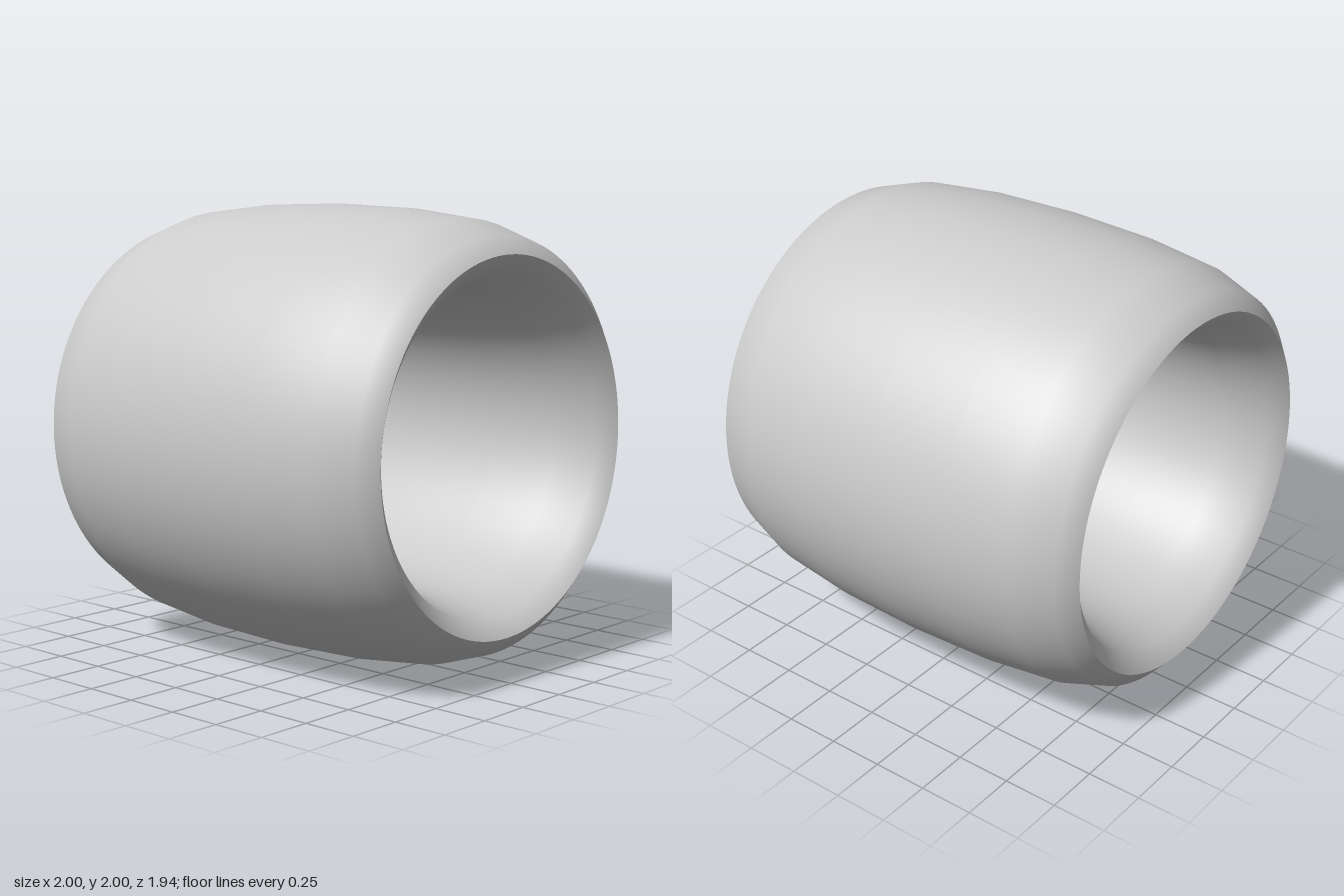
import * as THREE from 'three';

export function createModel() {
  const group = new THREE.Group();
  group.name = 'ring';
  const material = new THREE.MeshStandardMaterial({ color: 0xcccccc });

  const rim = 0.81; // radius of the sharp rim at both ends
  // half profile: [distance along the axis, bulge away from the rim radius]
  const half = [[0.97, 0], [0.905, 0.077], [0.71, 0.142], [0.39, 0.178], [0, 0.19]];
  const profile = [
    ...half.map(([z, b]) => [-z, b]),
    ...half.slice(0, -1).reverse(),
  ];

  // one smooth wall, swept around the z axis
  function addWall(name, sign) {
    const points = profile.map(([z, b]) => new THREE.Vector2(rim + sign * b, sign * z));
    const geometry = new THREE.LatheGeometry(points, 128);
    geometry.rotateX(Math.PI / 2);
    const mesh = new THREE.Mesh(geometry, material);
    mesh.name = name;
    mesh.position.y = 1;
    group.add(mesh);
  }

  addWall('outerWall', 1); // bulges outwards
  addWall('innerWall', -1); // bulges into the hole, meeting the outer wall at the rims
  return group;
}
